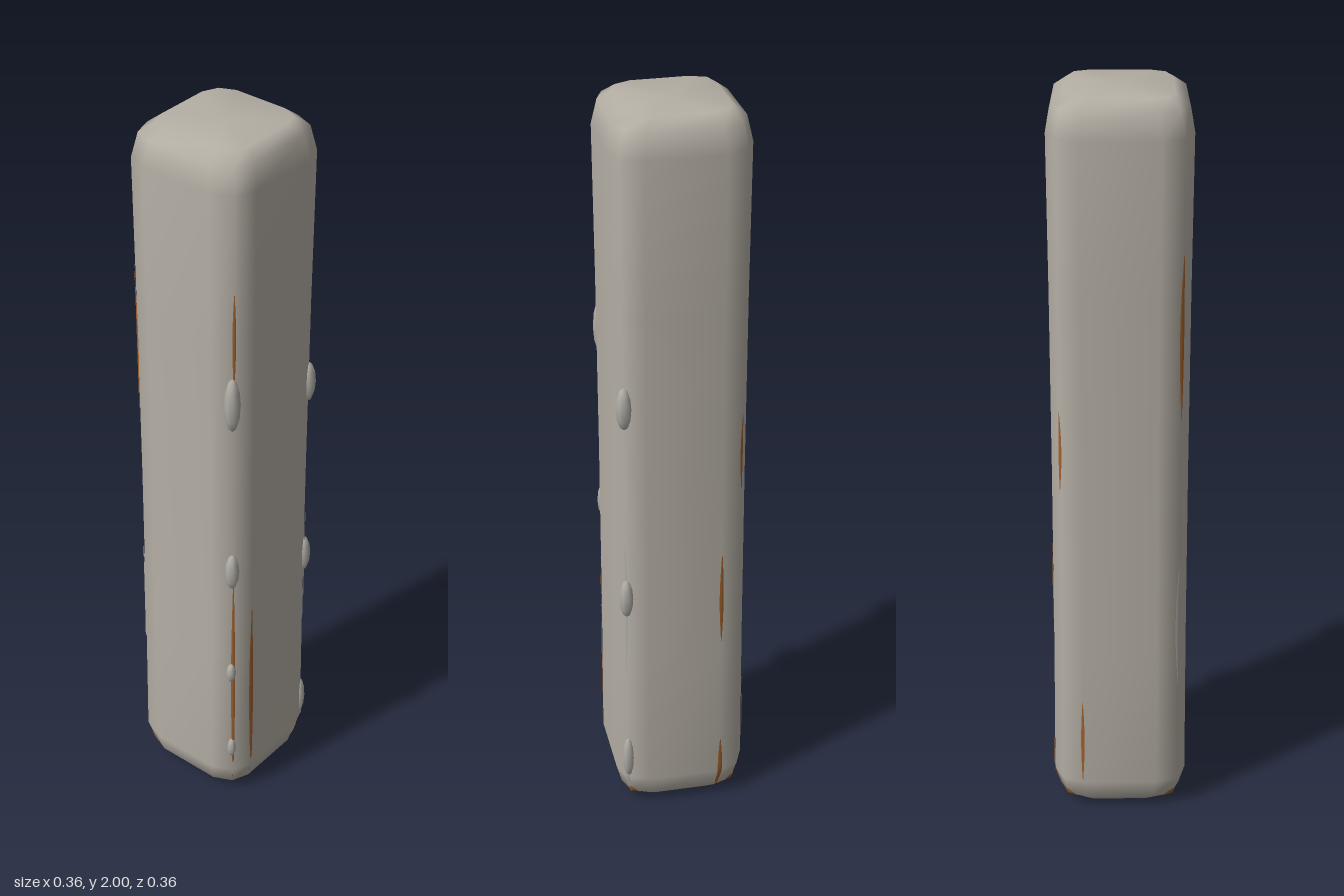
import * as THREE from 'three';

// Rounded-square cross-section (x, z), counterclockwise seen from above
const outline = [
  [0.1, 0.177], [0.152, 0.157], [0.176, 0.1], [0.179, -0.1], [0.155, -0.155], [0.1, -0.179],
  [-0.1, -0.176], [-0.157, -0.157], [-0.18, -0.1], [-0.178, 0.1], [-0.152, 0.155], [-0.1, 0.177],
];
const N = outline.length;

// Height and scale of each ring of the post
const profile = [
  [0, 0.72], [0.03, 0.91], [0.09, 1], [0.5, 0.985], [1, 0.98],
  [1.5, 0.985], [1.91, 1], [1.975, 0.92], [2, 0.74],
];

function surfacePoint(i, y, grow = 1) {
  let k = 0;
  while (k < profile.length - 2 && y > profile[k + 1][0]) k++;
  const [y0, s0] = profile[k], [y1, s1] = profile[k + 1];
  const s = THREE.MathUtils.mapLinear(y, y0, y1, s0, s1) * grow;
  const [x, z] = outline[(i + N) % N];
  return new THREE.Vector3(x * s, y, z * s);
}

function buildGeometry(points, index) {
  const geometry = new THREE.BufferGeometry().setFromPoints(points);
  geometry.setIndex(index);
  geometry.computeVertexNormals();
  return geometry;
}

function postGeometry() {
  const points = [], index = [];
  for (const [y] of profile) for (let i = 0; i < N; i++) points.push(surfacePoint(i, y));
  for (let r = 0; r < profile.length - 1; r++) {
    for (let i = 0; i < N; i++) {
      const a = r * N + i, b = r * N + (i + 1) % N;
      index.push(a, b, b + N, a, b + N, a + N);
    }
  }
  // End caps
  const bottom = points.push(new THREE.Vector3(0, 0, 0)) - 1;
  const top = points.push(new THREE.Vector3(0, 2, 0)) - 1;
  const last = (profile.length - 1) * N;
  for (let i = 0; i < N; i++) {
    const j = (i + 1) % N;
    index.push(bottom, j, i, top, last + i, last + j);
  }
  return buildGeometry(points, index);
}

// Thin pointed streak that wraps the vertical edge at outline point i
function streakGeometry(i, y0, y1, halfWidth) {
  const points = [], index = [], steps = 8;
  for (let k = 0; k <= steps; k++) {
    const t = k / steps, y = y0 + (y1 - y0) * t;
    const w = halfWidth * Math.sin(Math.PI * (0.04 + 0.92 * t));
    const p = surfacePoint(i, y, 1.012);
    const side = (n) => {
      const q = surfacePoint(n, y, 1.012);
      return p.clone().add(q.sub(p).setLength(w));
    };
    points.push(side(i - 1), p, side(i + 1));
    if (k < steps) {
      for (const a of [k * 3, k * 3 + 1]) index.push(a, a + 1, a + 4, a, a + 4, a + 3);
    }
  }
  return buildGeometry(points, index);
}

export function createModel() {
  const model = new THREE.Group();
  model.name = 'post';
  const stone = new THREE.MeshStandardMaterial({ color: 0xb5afa5 });
  stone.name = 'warm grey';
  const drip = new THREE.MeshStandardMaterial({ color: 0xb0ada6 });
  drip.name = 'drip grey';
  const rust = new THREE.MeshStandardMaterial({ color: 0xa0622f, side: THREE.DoubleSide });
  rust.name = 'rust brown';

  const add = (geometry, material, name) => {
    const mesh = new THREE.Mesh(geometry, material);
    mesh.name = name;
    model.add(mesh);
    return mesh;
  };

  add(postGeometry(), stone, 'postBody');

  // Drops running down the two front edges: x, y, radius, half height
  const drops = [
    [-0.155, 1.335, 0.021, 0.078], [-0.154, 0.81, 0.019, 0.055],
    [-0.157, 0.46, 0.013, 0.03], [-0.154, 0.18, 0.012, 0.032],
    [0.149, 1.25, 0.021, 0.06], [0.152, 0.685, 0.019, 0.057], [0.151, 0.16, 0.016, 0.065],
  ];
  for (const [x, y, r, h] of drops) {
    const drop = add(new THREE.SphereGeometry(1, 8, 6), drip, 'drop');
    drop.position.set(x, y, 0.152);
    drop.scale.set(r, h, r);
  }

  // Flat grey runs: edge, from, to, half width
  for (const [i, a, b, w] of [[1, 0.45, 0.85, 0.008], [7, 0.4, 0.75, 0.009], [1, 0.03, 0.2, 0.009]]) {
    add(streakGeometry(i, a, b, w), drip, 'dripRun');
  }

  // Rust streaks: edge, from, to, half width
  const streaks = [
    [11, 0.06, 0.66, 0.007], [10, 0.05, 0.78, 0.006], [10, 1.38, 1.65, 0.005],
    [7, 1.18, 1.62, 0.008], [5, 0.1, 0.35, 0.005],
    [3, 0.53, 0.8, 0.006], [3, 0.01, 0.2, 0.007], [4, 0.98, 1.2, 0.006],
  ];
  for (const [i, a, b, w] of streaks) add(streakGeometry(i, a, b, w), rust, 'rustStreak');

  // Rust patches on the bottom corners
  for (const i of [1, 4, 7]) add(streakGeometry(i, 0.005, 0.05, 0.022), rust, 'rustPatch');

  return model;
}
